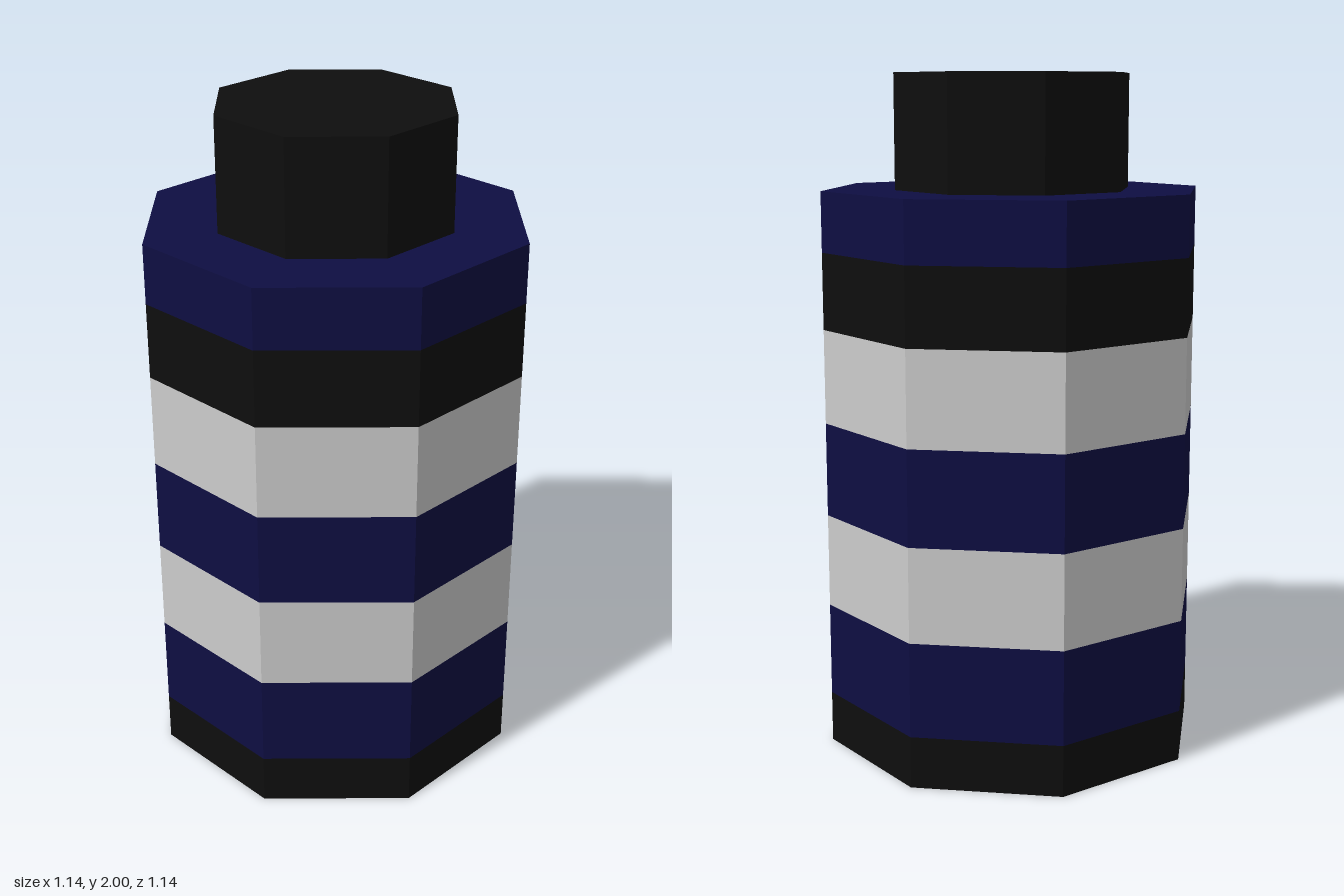
import * as THREE from 'three';

const SIDES = 8;
const BODY_RADIUS = 0.57;
const CAP_RADIUS = 0.354;

const material = (color) => new THREE.MeshStandardMaterial({ color, flatShading: true });

export function createModel() {
  const group = new THREE.Group();
  const black = material(0x0e0e0e);
  const navy = material(0x0e0e42);
  const grey = material(0xcccccc);

  const add = (name, geometry, mat, y) => {
    const mesh = new THREE.Mesh(geometry, mat);
    mesh.name = name;
    mesh.position.y = y;
    group.add(mesh);
  };

  // Striped octagonal body: [name, bottom, top, material]
  const bands = [
    ['baseBand', 0, 0.152, black],
    ['lowerNavyBand', 0.152, 0.43, navy],
    ['lowerGreyBand', 0.43, 0.708, grey],
    ['middleNavyBand', 0.708, 0.987, navy],
    ['upperGreyBand', 0.987, 1.265, grey],
    ['upperBlackBand', 1.265, 1.49, black],
    ['topNavyBand', 1.49, 1.666, navy],
  ];
  for (const [name, bottom, top, mat] of bands) {
    const geometry = new THREE.CylinderGeometry(BODY_RADIUS, BODY_RADIUS, top - bottom, SIDES, 1, true);
    add(name, geometry, mat, (bottom + top) / 2);
  }

  // Flat underside and shoulder closing the body
  const disc = new THREE.CircleGeometry(BODY_RADIUS, SIDES);
  add('underside', disc.clone().rotateX(Math.PI / 2), grey, 0);
  add('shoulder', disc.clone().rotateX(-Math.PI / 2), navy, 1.666);

  // Narrow cap on top
  add('cap', new THREE.CylinderGeometry(CAP_RADIUS, CAP_RADIUS, 0.334, SIDES), black, 1.833);

  return group;
}
